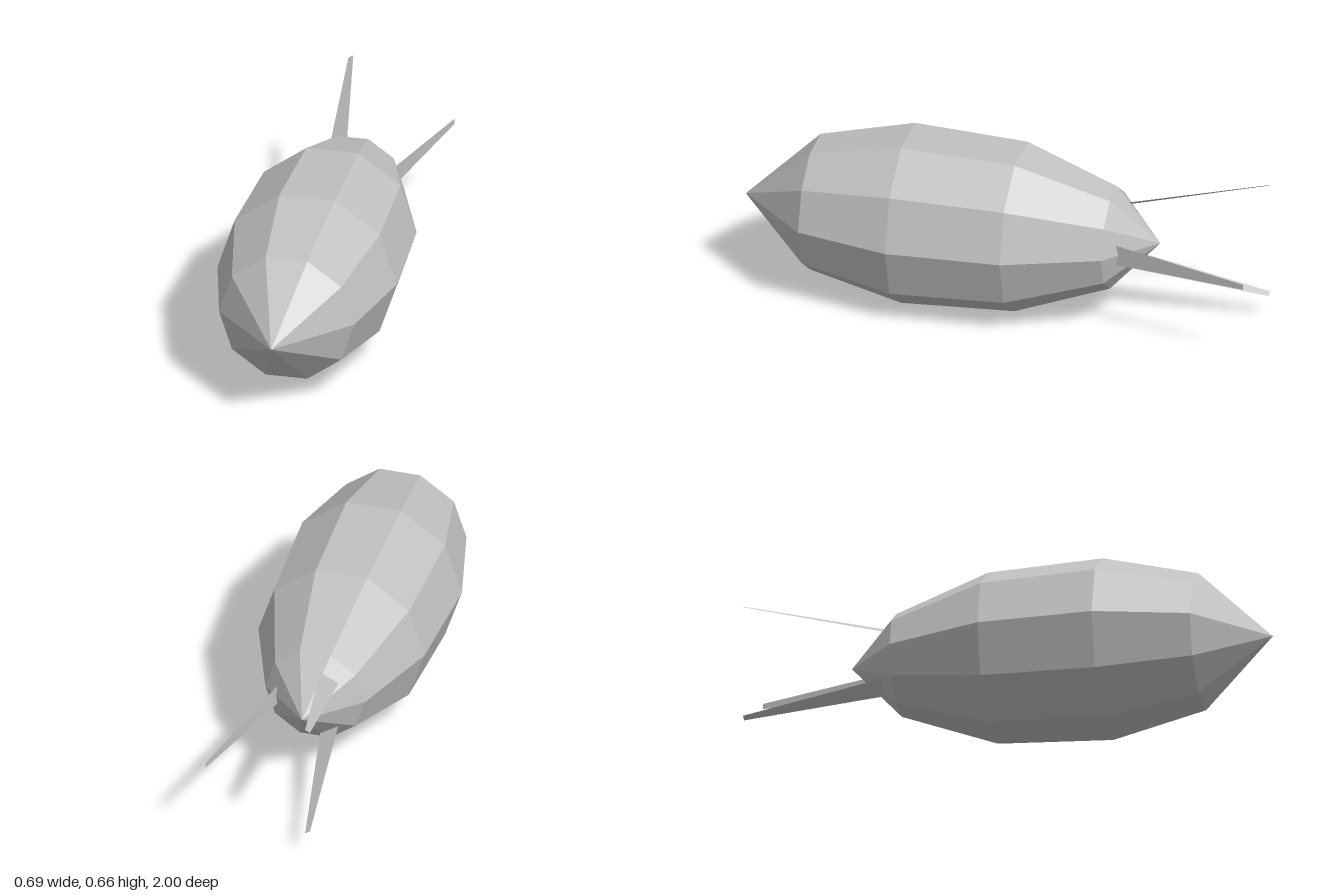
import * as THREE from 'three';

const AXIS_Y = 0.33;

// Flat tapered blade leaning outward toward the tail, on the +x side
function finGeometry() {
  const root = { r: 0.12, w: 0.044, z: -0.41 };
  const tip = { r: 0.266, w: 0.011, z: -1 };
  const corners = [
    root.r, -root.w, root.z,
    tip.r, -tip.w, tip.z,
    tip.r, tip.w, tip.z,
    root.r, root.w, root.z,
  ];
  const g = new THREE.BufferGeometry();
  g.setAttribute('position', new THREE.Float32BufferAttribute(corners, 3));
  g.setIndex([0, 1, 2, 0, 2, 3]);
  g.computeVertexNormals();
  return g;
}

export function createModel() {
  const model = new THREE.Group();
  model.name = 'finnedBody';

  const grey = new THREE.MeshStandardMaterial({ color: 0xc0c0c0, flatShading: true, side: THREE.DoubleSide });
  grey.name = 'grey';

  // Ten-sided faceted body, turned so its axis runs along z
  const profile = [
    [0, -0.61], [0.195, -0.43], [0.325, -0.07], [0.345, 0.37], [0.26, 0.73], [0, 1],
  ].map(([r, z]) => new THREE.Vector2(r, z));
  const bodyGeometry = new THREE.LatheGeometry(profile, 10, Math.PI / 2);
  bodyGeometry.rotateX(Math.PI / 2);
  const body = new THREE.Mesh(bodyGeometry, grey);
  body.name = 'body';
  body.position.y = AXIS_Y;
  model.add(body);

  // Three tail fins evenly spaced around the axis
  const fin = finGeometry();
  for (let i = 0; i < 3; i++) {
    const mesh = new THREE.Mesh(fin, grey);
    mesh.name = `tailFin${i + 1}`;
    mesh.position.y = AXIS_Y;
    mesh.rotation.z = (i * Math.PI * 2) / 3;
    model.add(mesh);
  }

  return model;
}
